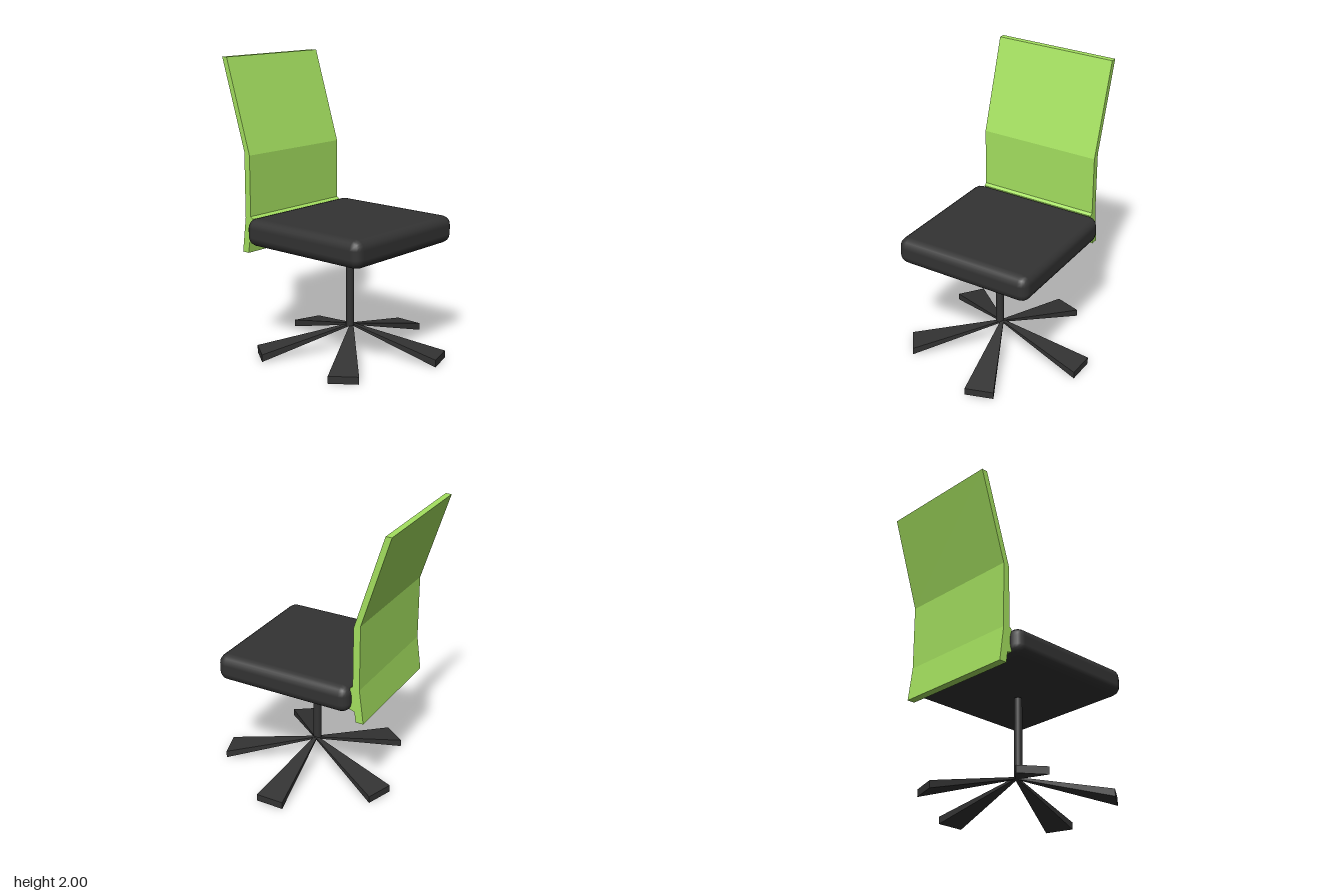
import * as THREE from 'three';
import { RoundedBoxGeometry } from 'three/addons/geometries/RoundedBoxGeometry.js';

const dark = new THREE.MeshStandardMaterial({ color: 0x333333 });
const green = new THREE.MeshStandardMaterial({ color: 0xa4e05f });

function part(name, geometry, material, x = 0, y = 0, z = 0) {
  const mesh = new THREE.Mesh(geometry, material);
  mesh.name = name;
  mesh.position.set(x, y, z);
  return mesh;
}

// Wedge running along +x from the hub, widening and dropping to the floor
function legGeometry() {
  const length = 0.64;
  const geometry = new THREE.BoxGeometry(1, 1, 1);
  const p = geometry.attributes.position;
  for (let i = 0; i < p.count; i++) {
    const outer = p.getX(i) > 0;
    const top = p.getY(i) > 0;
    const y = outer ? (top ? 0.05 : 0.005) : (top ? 0.197 : 0.185);
    p.setXYZ(i, outer ? length : -0.01, y, p.getZ(i) * (outer ? 0.2 : 0.016));
  }
  // Bottom edge touches the floor
  for (let i = 0; i < p.count; i++) if (p.getY(i) < 0.01) p.setY(i, 0);
  const flat = geometry.toNonIndexed();
  flat.computeVertexNormals();
  return flat;
}

// Side profile (z, y) swept across the width, with the lip that meets the seat
function backrestGeometry() {
  const profile = [
    [-0.475, 0.69], [-0.465, 0.765], [-0.43, 0.775], [-0.43, 0.93], [-0.45, 0.945],
    [-0.45, 1.36], [-0.65, 2], [-0.692, 2], [-0.498, 1.38], [-0.498, 0.93], [-0.53, 0.69],
  ];
  const shape = new THREE.Shape(profile.map(([z, y]) => new THREE.Vector2(z, y)));
  const geometry = new THREE.ExtrudeGeometry(shape, { depth: 0.875, bevelEnabled: false });
  geometry.rotateY(-Math.PI / 2);
  return geometry;
}

export function createModel() {
  const chair = new THREE.Group();
  chair.name = 'officeChair';

  // Cushion with softly rounded edges
  chair.add(part('seat', new RoundedBoxGeometry(1.005, 0.188, 0.99, 2, 0.065), dark, -0.053, 0.85, 0.053));
  chair.add(part('backrest', backrestGeometry(), green, 0.385, 0, 0));
  chair.add(part('column', new THREE.CylinderGeometry(0.028, 0.028, 0.56, 20), dark, -0.055, 0.46, 0.055));

  // Five-legged star base
  const base = new THREE.Group();
  base.name = 'starBase';
  base.position.set(-0.035, 0, 0.055);
  const leg = legGeometry();
  for (let i = 0; i < 5; i++) {
    const mesh = part('leg', leg, dark);
    mesh.rotation.y = (i * Math.PI * 2) / 5;
    base.add(mesh);
  }
  chair.add(base);
  return chair;
}
